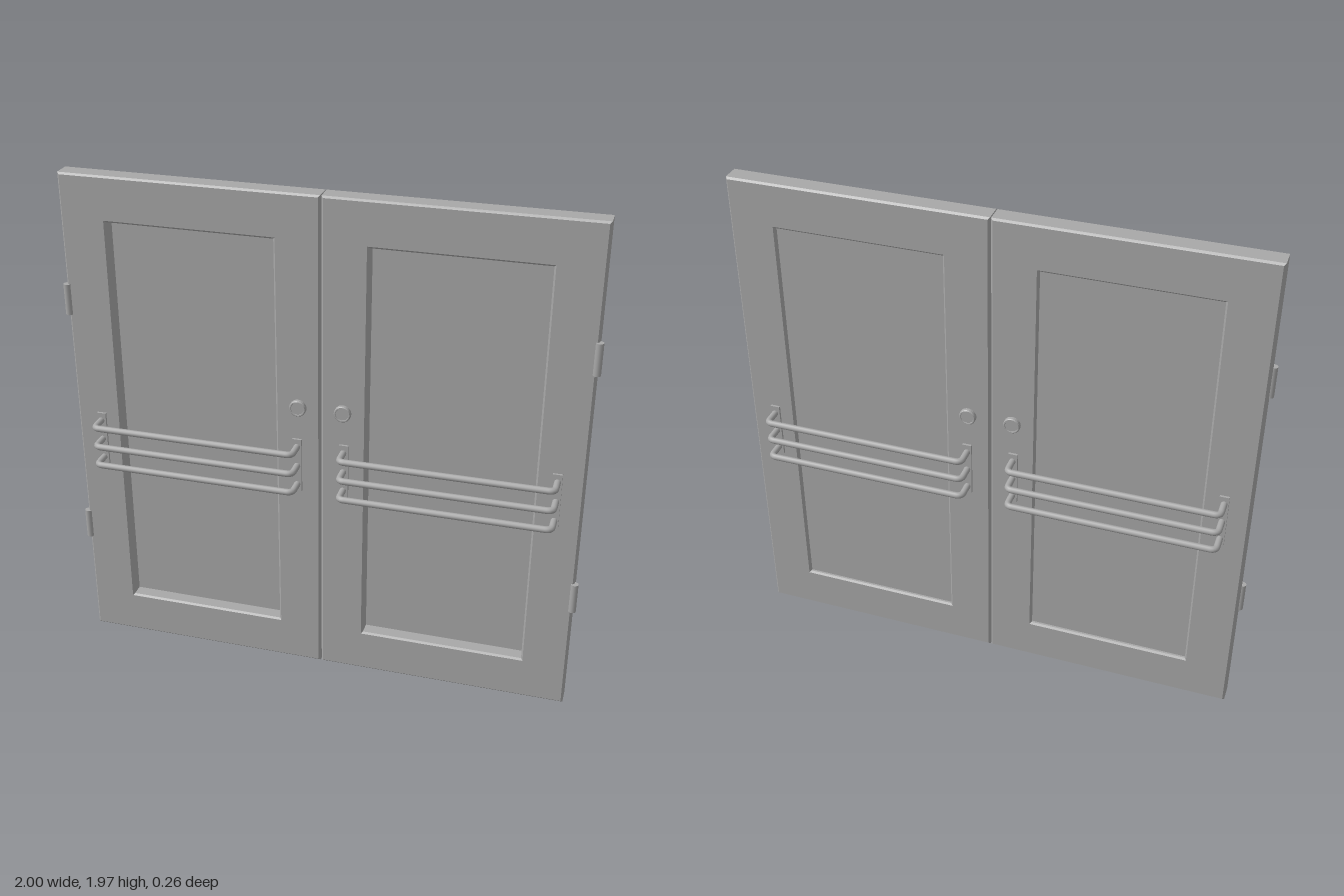
import * as THREE from 'three';

const steel = new THREE.MeshStandardMaterial({ color: 0xa8a8a8 });
steel.name = 'grey';

const DEPTH = 0.08, HALF = DEPTH / 2;

function part(parent, name, geometry, x = 0, y = 0, z = 0) {
  const mesh = new THREE.Mesh(geometry, steel);
  mesh.name = name;
  mesh.position.set(x, y, z);
  parent.add(mesh);
  return mesh;
}

function rect(target, x0, x1, y0, y1) {
  target.moveTo(x0, y0);
  target.lineTo(x1, y0);
  target.lineTo(x1, y1);
  target.lineTo(x0, y1);
  target.closePath();
  return target;
}

// Door frame with chamfered edges and a rectangular opening
function frameGeometry(s) {
  const span = (a, b) => (s > 0 ? [a, b] : [-b, -a]);
  const shape = rect(new THREE.Shape(), ...span(0.002, 0.985), 0, 1.97);
  shape.holes.push(rect(new THREE.Path(), ...span(0.174, 0.81), 0.176, 1.797));
  const bevel = 0.007;
  return new THREE.ExtrudeGeometry(shape, {
    depth: DEPTH - 2 * bevel, bevelEnabled: true, bevelSize: bevel,
    bevelThickness: bevel, bevelOffset: -bevel, bevelSegments: 1,
  }).translate(0, 0, -HALF + bevel);
}

// Bar that leaves the door, bends, runs along it and returns
function barGeometry(s, f) {
  const xi = s * 0.09, xo = s * 0.888, z0 = f * HALF, z1 = f * 0.118, r = 0.022;
  const V = (x, z) => new THREE.Vector3(x, 0, z);
  const path = new THREE.CurvePath();
  path.add(new THREE.LineCurve3(V(xi, z0), V(xi, z1 - f * r)));
  path.add(new THREE.QuadraticBezierCurve3(V(xi, z1 - f * r), V(xi, z1), V(xi + s * r, z1)));
  path.add(new THREE.LineCurve3(V(xi + s * r, z1), V(xo - s * r, z1)));
  path.add(new THREE.QuadraticBezierCurve3(V(xo - s * r, z1), V(xo, z1), V(xo, z1 - f * r)));
  path.add(new THREE.LineCurve3(V(xo, z1 - f * r), V(xo, z0)));
  return new THREE.TubeGeometry(path, 160, 0.0125, 12, false);
}

// Round lock: rim with a slightly sunken face
function lockGeometry(f) {
  const profile = [[0.032, 0], [0.032, 0.013], [0.029, 0.017], [0.025, 0.017], [0.024, 0.014], [0, 0.014]]
    .map(([r, y]) => new THREE.Vector2(r, y));
  const g = new THREE.LatheGeometry(profile, 28).toNonIndexed();
  g.computeVertexNormals();
  return g.rotateX(f * Math.PI / 2);
}

function door(s) {
  const group = new THREE.Group();
  group.name = s > 0 ? 'leftDoor' : 'rightDoor';
  part(group, 'frame', frameGeometry(s));
  // Inset panel sits close to the back of the frame
  part(group, 'panel', new THREE.BoxGeometry(0.65, 1.63, 0.01), s * 0.492, 0.9865, -0.02);

  for (const f of [1, -1]) {
    const handle = new THREE.Group();
    handle.name = f > 0 ? 'frontHandle' : 'backHandle';
    group.add(handle);
    for (const y of [0.826, 0.906, 0.987]) part(handle, 'bar', barGeometry(s, f), 0, y, 0);
    for (const x of [0.091, 0.887])
      part(handle, 'mountPlate', new THREE.BoxGeometry(0.036, 0.222, 0.01), s * x, 0.907, f * (HALF + 0.004));
    part(group, 'lock', lockGeometry(f), s * 0.086, 1.15, f * HALF);
  }

  // Hinge barrels on the outer front edge
  for (const y of [0.497, 1.481])
    part(group, 'hinge', new THREE.CylinderGeometry(0.0145, 0.0145, 0.122, 16), s * 0.9855, y, 0.037);
  return group;
}

export function createModel() {
  const model = new THREE.Group();
  model.name = 'doubleDoor';
  model.add(door(1), door(-1));
  return model;
}
